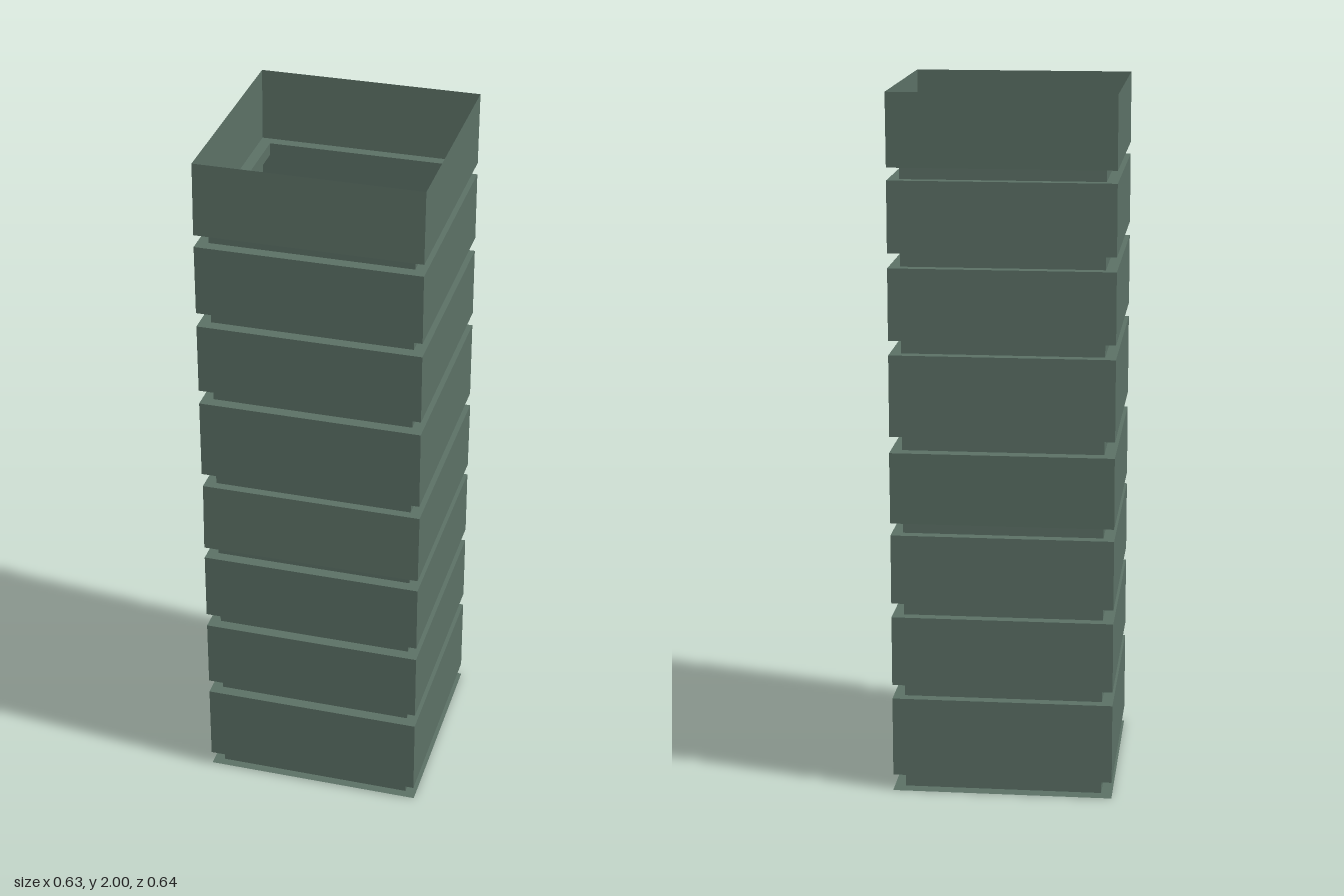
import * as THREE from 'three';

const material = new THREE.MeshStandardMaterial({ color: 0x5b7065, flatShading: true, side: THREE.DoubleSide });

// Rectangular loops: half width in x, back and front limits in z
const OUTER = { x: 0.314, back: -0.311, front: 0.318 };
const LIP = { x: 0.314, back: -0.318, front: 0.311 }; // slightly leaning top edge
const NECK = { x: 0.2825, back: -0.28, front: 0.2855 };

const corners = (r, y) => [
  [-r.x, y, r.front], [r.x, y, r.front], [r.x, y, r.back], [-r.x, y, r.back],
];

// Thin sheet joining a lower rectangle to an upper one on all four sides
function sheet(name, lower, y0, upper, y1) {
  const a = corners(lower, y0), b = corners(upper, y1), points = [];
  for (let i = 0; i < 4; i++) {
    const j = (i + 1) % 4;
    points.push(...a[i], ...a[j], ...b[j], ...a[i], ...b[j], ...b[i]);
  }
  const geometry = new THREE.BufferGeometry();
  geometry.setAttribute('position', new THREE.Float32BufferAttribute(points, 3));
  geometry.computeVertexNormals();
  const mesh = new THREE.Mesh(geometry, material);
  mesh.name = name;
  return mesh;
}

// One duct section, one unit tall: four wide bands, each above a narrow neck
function createSection() {
  const section = new THREE.Group();
  const bands = [[0.045, 0.276], [0.317, 0.519], [0.56, 0.76], [0.795, 1]];
  let base = 0;
  bands.forEach(([bottom, top], i) => {
    const last = i === bands.length - 1;
    section.add(
      sheet('lowerLedge', i === 0 ? LIP : OUTER, base, NECK, base),
      sheet('neck', NECK, base, NECK, bottom),
      sheet('upperLedge', NECK, bottom, OUTER, bottom),
      sheet('band', OUTER, bottom, last ? LIP : OUTER, top),
    );
    base = top;
  });
  return section;
}

export function createModel() {
  const model = new THREE.Group();
  model.name = 'ribbedSquareDuct';
  // Two identical sections stacked, open at both ends
  ['lowerSection', 'upperSection'].forEach((name, i) => {
    const section = createSection();
    section.name = name;
    section.position.y = i;
    model.add(section);
  });
  return model;
}
